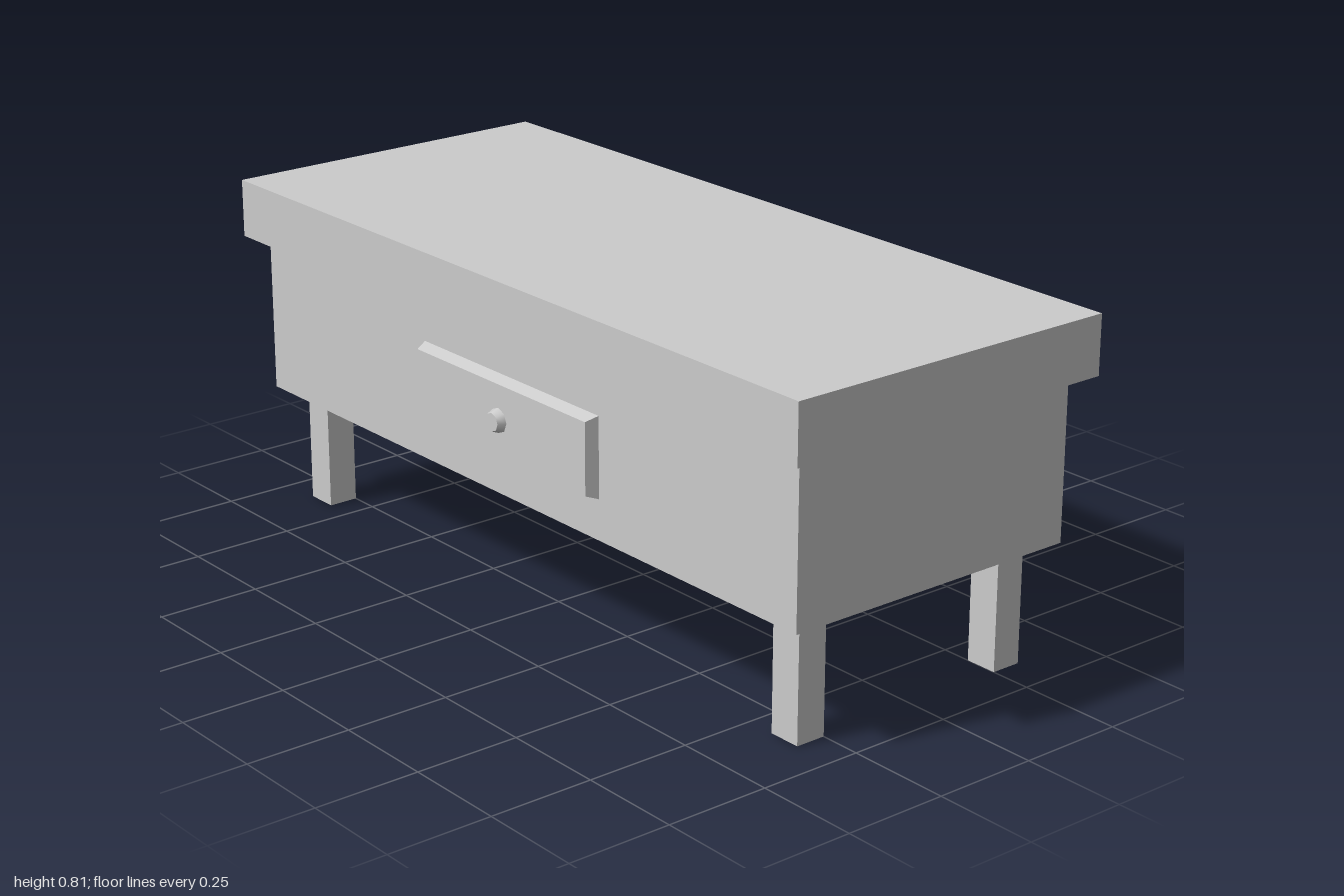
import * as THREE from 'three';

const material = new THREE.MeshStandardMaterial({ color: 0xcccccc });

function add(group, name, geometry, x, y, z) {
  const mesh = new THREE.Mesh(geometry, material);
  mesh.name = name;
  mesh.position.set(x, y, z);
  group.add(mesh);
  return mesh;
}

// Box whose front (+z) face is inset on all sides
function bevelledPanel(w, h, d, inset) {
  const geometry = new THREE.BoxGeometry(w, h, d);
  const p = geometry.attributes.position;
  for (let i = 0; i < p.count; i++) {
    if (p.getZ(i) > 0) {
      p.setX(i, p.getX(i) - Math.sign(p.getX(i)) * inset);
      p.setY(i, p.getY(i) - Math.sign(p.getY(i)) * inset);
    }
  }
  geometry.computeVertexNormals();
  return geometry;
}

export function createModel() {
  const table = new THREE.Group();
  table.name = 'table';

  // Overhanging top and the deep body below it
  add(table, 'tableTop', new THREE.BoxGeometry(2, 0.14, 0.854), 0, 0.742, 0);
  add(table, 'body', new THREE.BoxGeometry(1.912, 0.384, 0.764), 0, 0.48, 0);

  // Four square legs
  for (const [sideName, sx] of [['Left', 1], ['Right', -1]]) {
    for (const [endName, sz] of [['front', 1], ['back', -1]]) {
      add(table, endName + sideName + 'Leg', new THREE.BoxGeometry(0.08, 0.288, 0.074),
        sx * 0.861, 0.144, sz * 0.287);
    }
  }

  // Drawer front with sloping edges, and its tapered round knob
  const drawer = new THREE.Group();
  drawer.name = 'drawer';
  add(drawer, 'drawerFront', bevelledPanel(0.636, 0.192, 0.03, 0.011), 0, 0.48, 0.396);
  const knob = new THREE.CylinderGeometry(0.022, 0.03, 0.019, 8).rotateX(Math.PI / 2);
  add(drawer, 'drawerKnob', knob, -0.003, 0.48, 0.42);
  table.add(drawer);

  return table;
}
